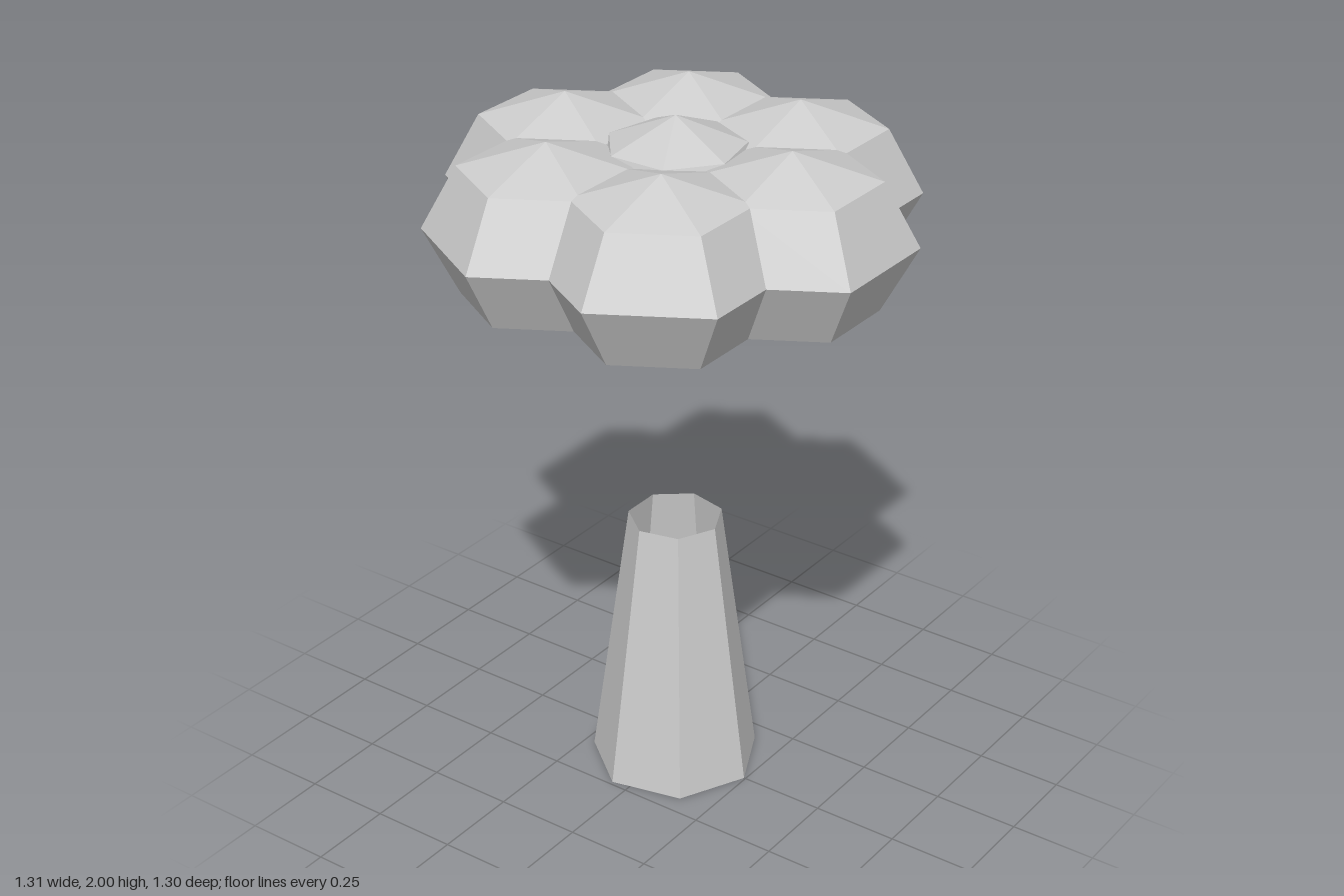
import * as THREE from 'three';

const grey = new THREE.MeshStandardMaterial({ color: 0xcccccc });
grey.name = 'light grey';
grey.flatShading = true;
grey.side = THREE.DoubleSide;

function addMesh(parent, name, geometry) {
  const mesh = new THREE.Mesh(geometry, grey);
  mesh.name = name;
  parent.add(mesh);
  return mesh;
}

// Faceted foliage ball: four bands between the poles
function foliage(sides, radius, halfHeight, turn) {
  return new THREE.SphereGeometry(1, sides, 4)
    .rotateY(turn)
    .scale(radius, halfHeight, radius);
}

export function createModel() {
  const model = new THREE.Group();
  model.name = 'tree';

  // Tapered seven-sided trunk, open at the top and closed below
  const trunk = new THREE.Group();
  trunk.name = 'trunk';
  model.add(trunk);
  addMesh(trunk, 'trunkWall',
    new THREE.CylinderGeometry(0.135, 0.245, 0.8, 7, 1, true)
      .rotateY(Math.PI / 2).translate(0, 0.4, 0));
  addMesh(trunk, 'trunkBase',
    new THREE.CircleGeometry(0.245, 7).rotateX(Math.PI / 2));

  // Floating crown: a ring of six balls around a central one
  const crown = new THREE.Group();
  crown.name = 'crown';
  crown.position.y = 1.73;
  model.add(crown);
  addMesh(crown, 'crownCentre', foliage(7, 0.27, 0.27, -Math.PI / 2));
  const outer = foliage(6, 0.335, 0.255, Math.PI / 2);
  for (let i = 0; i < 6; i++) {
    const a = i * Math.PI / 3;
    addMesh(crown, 'crownBall' + (i + 1), outer)
      .position.set(0.365 * Math.cos(a), 0, 0.365 * Math.sin(a));
  }

  return model;
}
